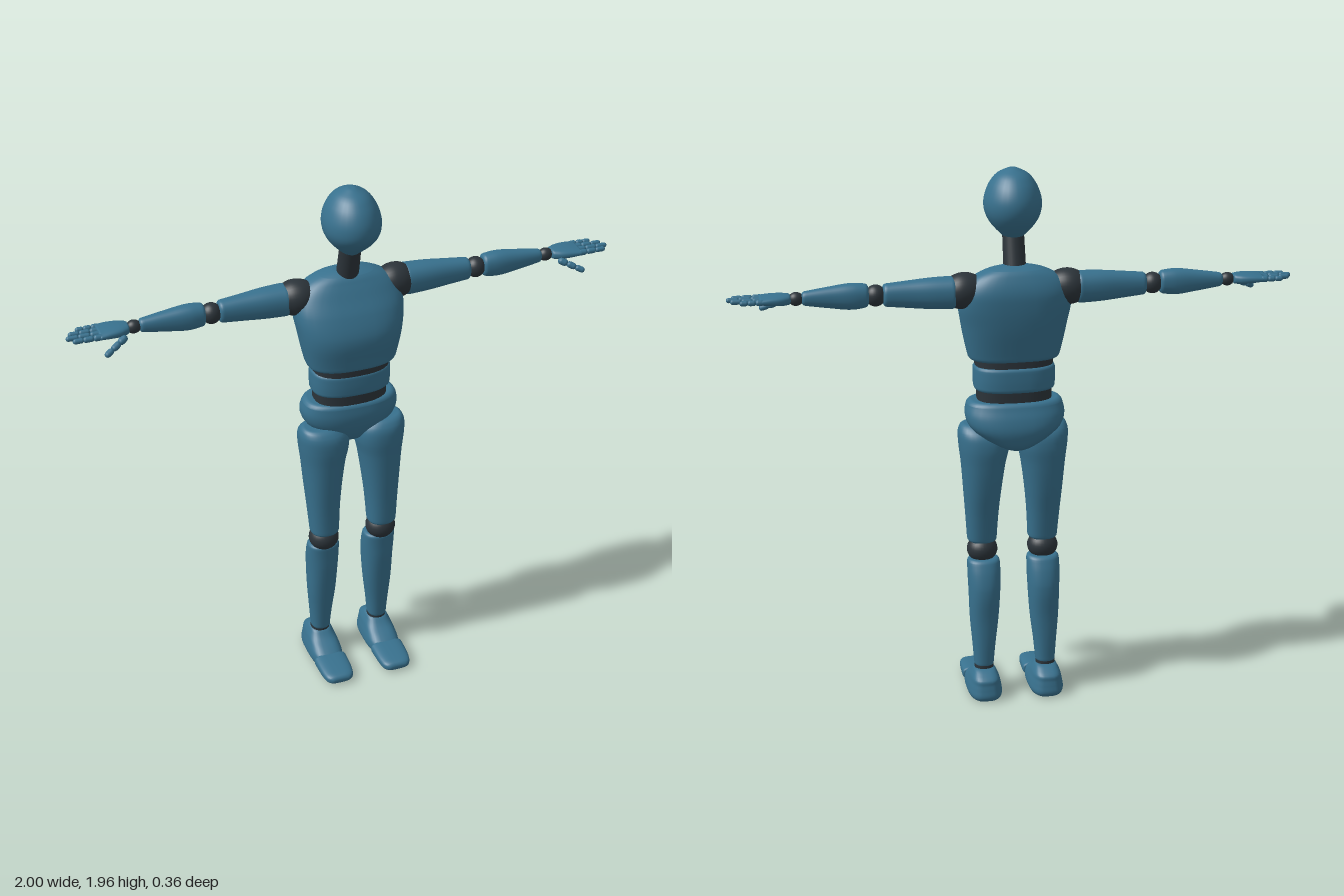
import * as THREE from 'three';

const shell = new THREE.MeshStandardMaterial({ color: 0x38718e });
shell.name = 'blueShell';
const joint = new THREE.MeshStandardMaterial({ color: 0x2c343a });
joint.name = 'darkJoint';

// Smooth closed body from cross-sections [t, centreU, centreV, radiusU, radiusV] along an axis.
// u and v are x,z along y; y,z along x; x,y along z. side = -1 mirrors it across x.
function loft(axis, sections, { side = 1, power = 2.3, bevel = 0.012, steps = 5, seg = 32 } = {}) {
  const times = sections.map((s) => s[0]);
  const curve = new THREE.CubicInterpolant(times, sections.flatMap((s) => s.slice(1)), 4);
  const t0 = times[0], t1 = times[times.length - 1];
  const at = (t) => Array.from(curve.evaluate(t));
  const rings = [];
  const add = (t, inset) => {
    const [u, v, ru, rv] = at(t);
    rings.push([t, u, v, Math.max(ru - inset, 0), Math.max(rv - inset, 0)]);
  };
  // rounded start cap, body, rounded end cap
  add(t0, 9);
  for (let i = 0; i <= 4; i++) {
    const a = (i / 4) * Math.PI / 2;
    add(t0 + bevel * (1 - Math.cos(a)), bevel * (1 - Math.sin(a)));
  }
  for (let k = 0; k < times.length - 1; k++) {
    for (let j = 0; j < steps; j++) {
      const t = THREE.MathUtils.lerp(times[k], times[k + 1], j / steps);
      if (t > t0 + bevel * 1.05 && t < t1 - bevel * 1.05) add(t, 0);
    }
  }
  for (let i = 4; i >= 0; i--) {
    const a = (i / 4) * Math.PI / 2;
    add(t1 - bevel * (1 - Math.cos(a)), bevel * (1 - Math.sin(a)));
  }
  add(t1, 9);

  const pos = [], index = [];
  const bend = (c) => Math.sign(c) * Math.abs(c) ** (2 / power);
  for (const [t, cu, cv, ru, rv] of rings) {
    for (let j = 0; j < seg; j++) {
      const a = (j / seg) * Math.PI * 2;
      const u = cu + ru * bend(Math.cos(a)), v = cv + rv * bend(Math.sin(a));
      const p = axis === 'y' ? [u, t, v] : axis === 'x' ? [t, u, v] : [u, v, t];
      pos.push(p[0] * side, p[1], p[2]);
    }
  }
  const flip = (axis === 'y') !== (side < 0);
  for (let i = 0; i < rings.length - 1; i++) {
    for (let j = 0; j < seg; j++) {
      const a = i * seg + j, b = i * seg + (j + 1) % seg, c = a + seg, d = b + seg;
      if (flip) index.push(a, c, b, b, c, d);
      else index.push(a, b, c, b, d, c);
    }
  }
  const geo = new THREE.BufferGeometry();
  geo.setAttribute('position', new THREE.Float32BufferAttribute(pos, 3));
  geo.setIndex(index);
  geo.computeVertexNormals();
  return geo;
}

function part(parent, name, geo, mat) {
  const mesh = new THREE.Mesh(geo, mat);
  mesh.name = name;
  parent.add(mesh);
  return mesh;
}

// Flattened ball used for knees, elbows and wrists
function ball(parent, name, x, y, z, rx, ry, rz) {
  const geo = new THREE.SphereGeometry(1, 28, 18).scale(rx, ry, rz);
  part(parent, name, geo, joint).position.set(x, y, z);
}

function addTrunk(g) {
  part(g, 'head', loft('y', [
    [1.712, 0, -0.035, 0.02, 0.024], [1.735, 0, -0.034, 0.045, 0.052], [1.77, 0, -0.03, 0.077, 0.091],
    [1.805, 0, -0.027, 0.096, 0.116], [1.845, 0, -0.027, 0.101, 0.123], [1.885, 0, -0.027, 0.092, 0.113],
    [1.92, 0, -0.027, 0.074, 0.09], [1.945, 0, -0.027, 0.05, 0.06], [1.963, 0, -0.027, 0.014, 0.016],
  ], { power: 2, bevel: 0.004 }), shell);

  const neck = part(g, 'neck', new THREE.CylinderGeometry(0.038, 0.04, 0.17, 28), joint);
  neck.position.set(0, 1.66, -0.056);
  neck.rotation.x = 0.26;

  part(g, 'chest', loft('y', [
    [1.29, 0, -0.04, 0.16, 0.098], [1.32, 0, -0.041, 0.168, 0.103], [1.42, 0, -0.046, 0.188, 0.118],
    [1.5, 0, -0.064, 0.199, 0.108], [1.55, 0, -0.078, 0.188, 0.092], [1.595, 0, -0.084, 0.15, 0.07],
    [1.62, 0, -0.085, 0.1, 0.052], [1.633, 0, -0.085, 0.055, 0.032],
  ], { power: 2.6 }), shell);

  part(g, 'upperWaistJoint', loft('y', [[1.23, 0, -0.046, 0.138, 0.09], [1.31, 0, -0.044, 0.141, 0.09]], { power: 2.6 }), joint);
  part(g, 'abdomen', loft('y', [
    [1.18, 0, -0.05, 0.144, 0.094], [1.22, 0, -0.049, 0.146, 0.096], [1.27, 0, -0.048, 0.145, 0.095],
  ], { power: 2.6 }), shell);
  part(g, 'lowerWaistJoint', loft('y', [[1.11, 0, -0.052, 0.134, 0.085], [1.2, 0, -0.051, 0.134, 0.085]], { power: 2.6 }), joint);

  part(g, 'pelvis', loft('y', [
    [0.965, 0, -0.075, 0.035, 0.065], [0.985, 0, -0.077, 0.075, 0.085], [1.015, 0, -0.075, 0.125, 0.1],
    [1.05, 0, -0.071, 0.164, 0.109], [1.09, 0, -0.064, 0.178, 0.108], [1.13, 0, -0.057, 0.172, 0.098],
    [1.145, 0, -0.056, 0.166, 0.095],
  ], { power: 2.5, bevel: 0.014 }), shell);
}

function addLeg(g, side) {
  const o = { side };
  part(g, 'thigh', loft('y', [
    [0.59, 0.112, -0.015, 0.053, 0.052], [0.7, 0.113, -0.023, 0.06, 0.063], [0.8, 0.112, -0.03, 0.069, 0.076],
    [0.9, 0.109, -0.034, 0.08, 0.086], [0.98, 0.106, -0.034, 0.092, 0.09], [1.02, 0.111, -0.031, 0.087, 0.08],
    [1.048, 0.12, -0.025, 0.068, 0.054],
  ], o), shell);
  ball(g, 'knee', side * 0.112, 0.56, -0.022, 0.056, 0.05, 0.055);
  part(g, 'shin', loft('y', [
    [0.115, 0.115, -0.066, 0.035, 0.038], [0.2, 0.114, -0.063, 0.042, 0.045], [0.3, 0.112, -0.058, 0.052, 0.053],
    [0.42, 0.11, -0.054, 0.058, 0.063], [0.48, 0.11, -0.046, 0.06, 0.058], [0.53, 0.11, -0.034, 0.059, 0.049],
  ], o), shell);
  part(g, 'ankle', loft('y', [[0.07, 0.115, -0.07, 0.036, 0.036], [0.135, 0.115, -0.068, 0.034, 0.035]], o), joint);
  part(g, 'foot', loft('y', [
    [0.003, 0.115, -0.046, 0.056, 0.112], [0.02, 0.115, -0.048, 0.063, 0.118], [0.045, 0.115, -0.05, 0.061, 0.113],
    [0.065, 0.115, -0.063, 0.056, 0.096], [0.085, 0.115, -0.08, 0.05, 0.075], [0.112, 0.115, -0.075, 0.036, 0.038],
  ], { side, power: 3, bevel: 0.008 }), shell);
  part(g, 'toes', loft('z', [
    [0.04, 0.115, 0.029, 0.062, 0.026], [0.09, 0.115, 0.028, 0.061, 0.024],
    [0.14, 0.115, 0.026, 0.057, 0.021], [0.163, 0.115, 0.025, 0.05, 0.018], [0.178, 0.115, 0.024, 0.036, 0.012],
  ], { side, power: 3, bevel: 0.008 }), shell);
}

// Jointed finger: three short rounded segments between two points
function addFinger(g, name, from, to, radius) {
  const a = new THREE.Vector3(...from), b = new THREE.Vector3(...to);
  const dir = b.clone().sub(a), len = dir.length() / 3;
  for (let i = 0; i < 3; i++) {
    const r = radius * (1 - i * 0.08);
    const seg = part(g, name, new THREE.CapsuleGeometry(r, Math.max(len - r * 1.6, 0.004), 4, 12), shell);
    seg.position.copy(a).addScaledVector(dir, (i + 0.5) / 3);
    seg.quaternion.setFromUnitVectors(new THREE.Vector3(0, 1, 0), dir.clone().normalize());
  }
}

function addArm(g, side) {
  const o = { side };
  part(g, 'shoulder', loft('x', [
    [0.12, 1.55, -0.083, 0.045, 0.045], [0.165, 1.55, -0.084, 0.062, 0.062], [0.2, 1.549, -0.086, 0.063, 0.062],
    [0.235, 1.548, -0.087, 0.05, 0.05],
  ], { side, power: 2 }), joint);
  part(g, 'upperArm', loft('x', [
    [0.215, 1.546, -0.089, 0.057, 0.056], [0.3, 1.546, -0.088, 0.054, 0.05], [0.38, 1.546, -0.086, 0.047, 0.041],
    [0.465, 1.546, -0.084, 0.039, 0.034],
  ], o), shell);
  ball(g, 'elbow', side * 0.49, 1.546, -0.083, 0.036, 0.038, 0.036);
  part(g, 'forearm', loft('x', [
    [0.515, 1.548, -0.083, 0.04, 0.034], [0.57, 1.547, -0.083, 0.046, 0.038], [0.65, 1.547, -0.083, 0.037, 0.031],
    [0.745, 1.547, -0.083, 0.023, 0.021],
  ], o), shell);
  ball(g, 'wrist', side * 0.763, 1.547, -0.083, 0.026, 0.024, 0.023);
  part(g, 'palm', loft('x', [
    [0.782, 1.548, -0.083, 0.017, 0.027], [0.81, 1.548, -0.083, 0.019, 0.041], [0.85, 1.549, -0.083, 0.017, 0.048],
    [0.89, 1.549, -0.082, 0.012, 0.05],
  ], { side, bevel: 0.007, power: 2.6 }), shell);
  const tips = [[-0.046, 0.98], [-0.071, 0.998], [-0.096, 0.985], [-0.121, 0.955]];
  for (const [z, tip] of tips) {
    addFinger(g, 'finger', [side * 0.875, 1.549, z], [side * tip, 1.549, z], 0.011);
  }
  addFinger(g, 'thumb', [side * 0.8, 1.535, -0.045], [side * 0.882, 1.498, -0.003], 0.013);
}

export function createModel() {
  const model = new THREE.Group();
  model.name = 'jointedMannequin';
  addTrunk(model);
  for (const side of [1, -1]) {
    const word = side > 0 ? 'left' : 'right';
    for (const [name, build] of [['Leg', addLeg], ['Arm', addArm]]) {
      const limb = new THREE.Group();
      limb.name = word + name;
      build(limb, side);
      model.add(limb);
    }
  }
  return model;
}
